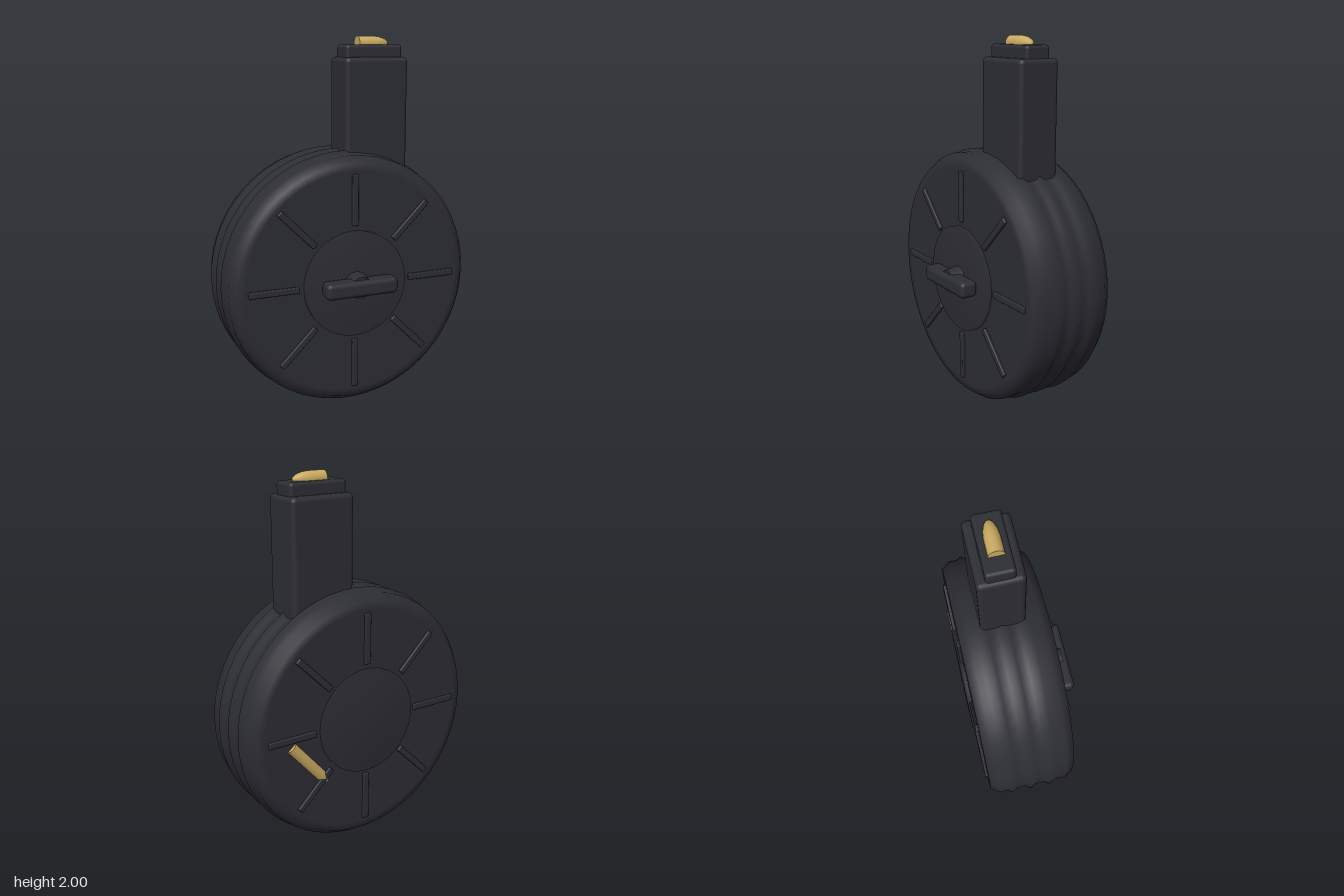
import * as THREE from 'three';
import { RoundedBoxGeometry } from 'three/addons/geometries/RoundedBoxGeometry.js';

const DRUM_Y = 0.705;

export function createModel() {
  const model = new THREE.Group();
  model.name = 'drumContainer';

  const polymer = new THREE.MeshStandardMaterial({ color: 0x2d2d35 });
  polymer.name = 'darkPolymer';
  const brass = new THREE.MeshStandardMaterial({ color: 0xc9aa62 });
  brass.name = 'brass';

  const add = (name, geometry, material, x, y, z) => {
    const mesh = new THREE.Mesh(geometry, material);
    mesh.name = name;
    mesh.position.set(x, y, z);
    model.add(mesh);
    return mesh;
  };
  const lathe = (points, segments) =>
    new THREE.LatheGeometry(points.map(([r, h]) => new THREE.Vector2(r, h)), segments);
  const box = (w, h, d, r) => new RoundedBoxGeometry(w, h, d, 3, r);

  // Drum body: bevelled rims and three raised ridges around the side
  const profile = [[0, -0.29], [0.61, -0.29], [0.65, -0.288], [0.684, -0.24]];
  for (const z of [-0.17, -0.06, 0.047]) {
    profile.push([0.683, z - 0.03], [0.7, z], [0.683, z + 0.03]);
  }
  profile.push([0.684, 0.14], [0.65, 0.186], [0.61, 0.188], [0, 0.188]);
  add('drumBody', lathe(profile, 56).rotateX(Math.PI / 2), polymer, 0, DRUM_Y, 0);

  // Hub discs and radial ribs on both faces
  for (const [side, face, dir] of [['front', 0.188, 1], ['back', -0.29, -1]]) {
    const hub = lathe([[0.29, -0.01], [0.29, 0.022], [0, 0.025]], 48).rotateX(Math.PI / 2);
    if (dir < 0) hub.rotateY(Math.PI);
    add(side + 'Hub', hub, polymer, 0, DRUM_Y, face);

    for (let i = 0; i < 8; i++) {
      const a = (i * Math.PI) / 4;
      const rib = add(side + 'Rib' + (i + 1), box(0.275, 0.035, 0.035, 0.006), polymer,
        0.455 * Math.cos(a), DRUM_Y + 0.455 * Math.sin(a), face - dir * 0.003);
      rib.rotation.z = a;
    }
  }

  // Winding key on the front
  add('keyShaft', new THREE.CylinderGeometry(0.06, 0.072, 0.08, 16).rotateX(Math.PI / 2),
    polymer, 0, DRUM_Y, 0.245);
  add('keyBar', box(0.405, 0.088, 0.098, 0.025), polymer, 0, DRUM_Y, 0.265);

  // Feed tower and its lip
  add('tower', box(0.36, 0.69, 0.235, 0.025), polymer, 0.181, 1.545, -0.053);
  add('towerLip', box(0.325, 0.11, 0.145, 0.018), polymer, 0.182, 1.9, -0.053);

  // Brass rounds: straight case with a rounded nose pointing along +x
  const round = (radius, length, nose) => {
    const body = length - nose;
    return lathe([
      [0, 0], [radius, 0], [radius, 0.002], [radius, body * 0.5], [radius, body],
      [radius * 0.9, body + nose * 0.4], [radius * 0.65, body + nose * 0.75],
      [radius * 0.35, body + nose * 0.95], [0, length],
    ], 20).rotateZ(-Math.PI / 2);
  };
  add('topRound', round(0.04, 0.18, 0.09), brass, 0.11, 1.96, -0.053);
  const backRound = add('backRound', round(0.033, 0.34, 0.07), brass, 0.46, 0.66, -0.275);
  backRound.rotation.z = Math.atan2(-0.25, -0.215);

  return model;
}
